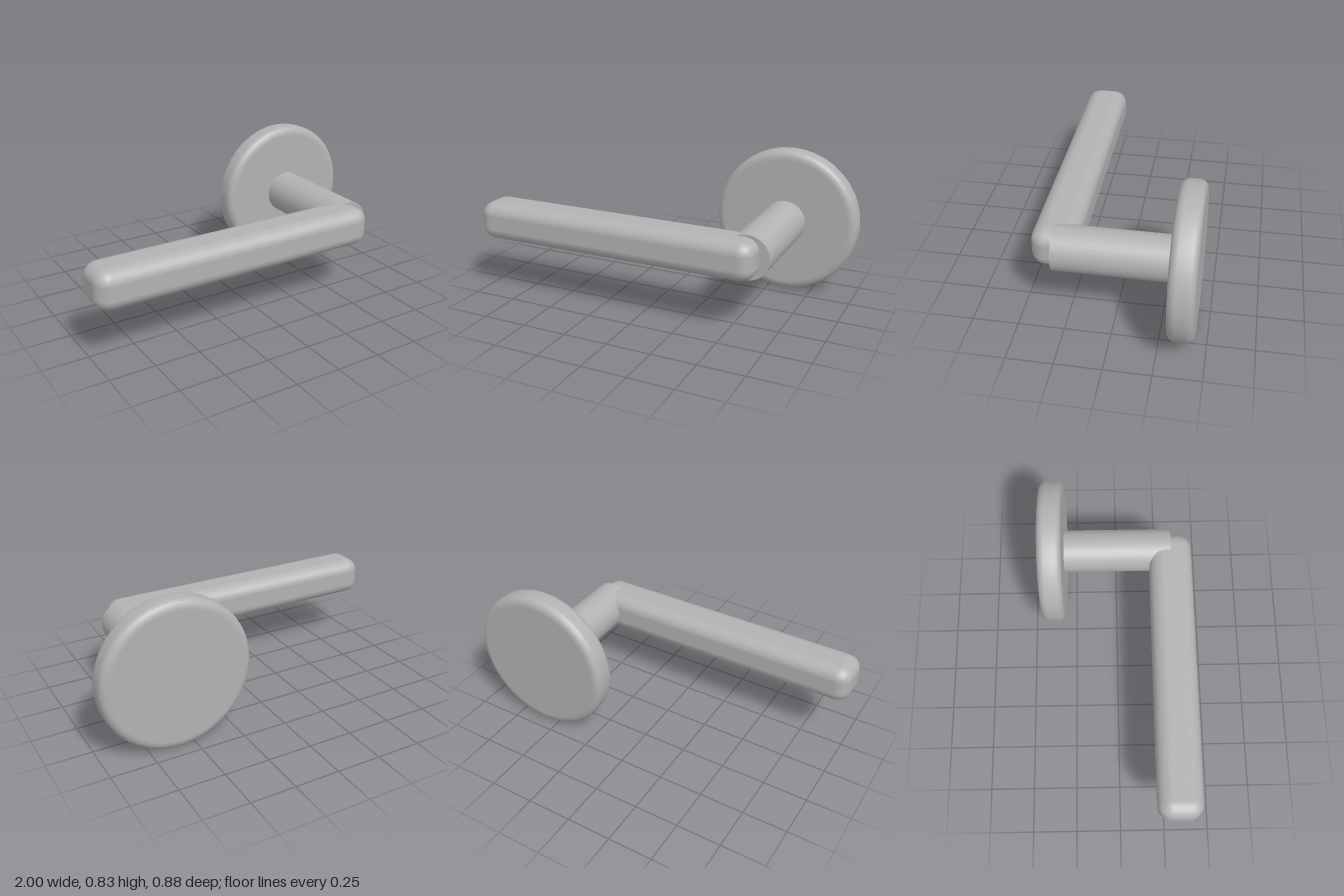
import * as THREE from 'three';
import { RoundedBoxGeometry } from 'three/addons/geometries/RoundedBoxGeometry.js';

export function createModel() {
  const group = new THREE.Group();
  const metal = new THREE.MeshStandardMaterial({ color: 0xb2b2b2 });
  metal.name = 'satin grey metal';

  const axisX = 0.585, axisY = 0.414;
  const add = (name, geometry, x, y, z) => {
    const mesh = new THREE.Mesh(geometry, metal);
    mesh.name = name;
    mesh.position.set(x, y, z);
    group.add(mesh);
    return mesh;
  };

  // Round wall plate: a disc with a softly rounded rim on both faces
  const R = 0.414, half = 0.068, bevel = 0.042, steps = 4;
  const profile = [new THREE.Vector2(0, -half), new THREE.Vector2(R - bevel - 0.01, -half)];
  for (const side of [-1, 1]) {
    for (let i = 0; i <= steps; i++) {
      const a = (side < 0 ? i - steps : i) / steps * Math.PI / 2;
      profile.push(new THREE.Vector2(
        R - bevel + bevel * Math.cos(a),
        side * (half - bevel) + bevel * Math.sin(a)
      ));
    }
  }
  profile.push(new THREE.Vector2(R - bevel - 0.01, half), new THREE.Vector2(0, half));
  const plate = new THREE.LatheGeometry(profile, 40);
  plate.rotateX(Math.PI / 2);
  add('wallPlate', plate, axisX, axisY, -0.373);

  // Straight neck from the plate into the grip
  const neck = new THREE.CylinderGeometry(0.123, 0.123, 0.66, 40);
  neck.rotateX(Math.PI / 2);
  add('neck', neck, axisX, axisY, -0.012);

  // Grip bar: rounded box, slightly flattened in height
  const grip = new RoundedBoxGeometry(1.65, 0.246, 0.246, 3, 0.08);
  grip.scale(1, 0.89, 1);
  add('leverGrip', grip, -0.175, 0.415, 0.318);

  return group;
}
